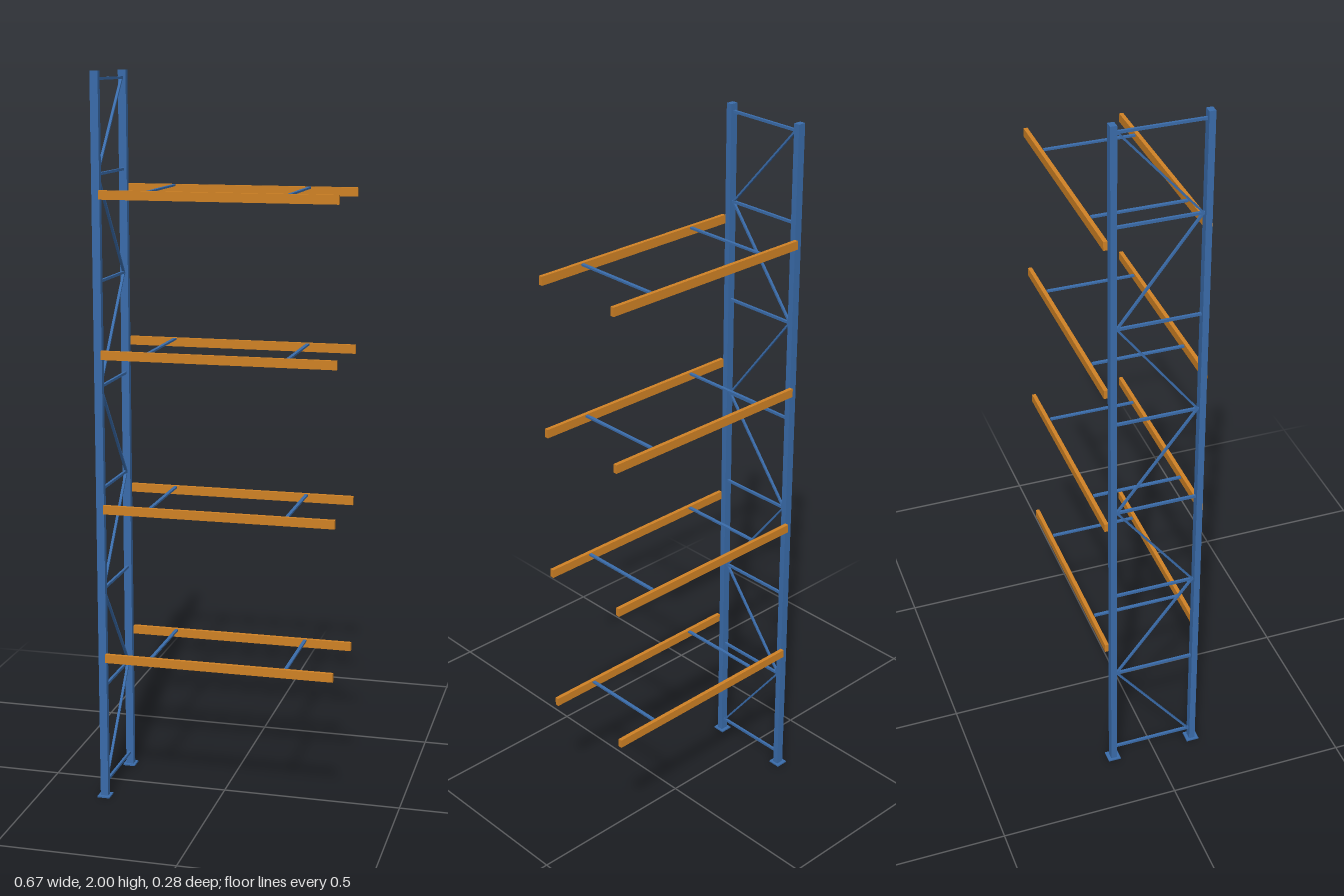
import * as THREE from 'three';

const blue = new THREE.MeshStandardMaterial({ color: 0x3a6cab });
const orange = new THREE.MeshStandardMaterial({ color: 0xd08225 });

const POST_X = -0.316, POST_Z = 0.12;

function addBox(parent, name, material, size, position) {
  const mesh = new THREE.Mesh(new THREE.BoxGeometry(...size), material);
  mesh.name = name;
  mesh.position.set(...position);
  parent.add(mesh);
  return mesh;
}

// Upright frame: two posts on foot plates, joined by rungs and zigzag braces
function createFrame() {
  const frame = new THREE.Group();
  frame.name = 'uprightFrame';
  for (const side of [1, -1]) {
    const z = side * POST_Z;
    addBox(frame, 'post', blue, [0.022, 1.996, 0.017], [POST_X, 1.002, z]);
    addBox(frame, 'footPlate', blue, [0.035, 0.004, 0.036], [POST_X, 0.002, z]);
  }

  const levels = [0.039, 0.322, 0.604, 0.887, 1.169, 1.452, 1.734, 1.979];
  const reach = 0.112;
  levels.forEach((y, i) => {
    addBox(frame, 'rung', blue, [0.007, 0.007, 2 * reach], [POST_X, y, 0]);
    if (i === 0) return;
    // Braces start at the front foot and alternate direction
    const below = levels[i - 1];
    const dir = i % 2 ? -1 : 1;
    const rise = y - below, run = dir * 2 * (reach - 0.003);
    const brace = addBox(frame, 'diagonalBrace', blue,
      [0.007, 0.005, Math.hypot(rise, run)], [POST_X, (y + below) / 2, 0]);
    brace.rotation.x = -Math.atan2(rise, run);
  });
  return frame;
}

// Shelf level: front and back beams with two thin ties between them
function createLevel(top) {
  const level = new THREE.Group();
  level.name = 'shelfLevel';
  for (const side of [1, -1]) {
    addBox(level, 'beam', orange, [0.638, 0.024, 0.011], [0.014, top - 0.012, side * 0.133]);
  }
  for (const x of [-0.175, 0.202]) {
    addBox(level, 'crossTie', blue, [0.009, 0.005, 0.25], [x, top - 0.0025, 0]);
  }
  return level;
}

export function createModel() {
  const model = new THREE.Group();
  model.name = 'palletRack';
  model.add(createFrame());
  for (let i = 0; i < 4; i++) model.add(createLevel(0.424 + i * 0.4235));
  return model;
}
